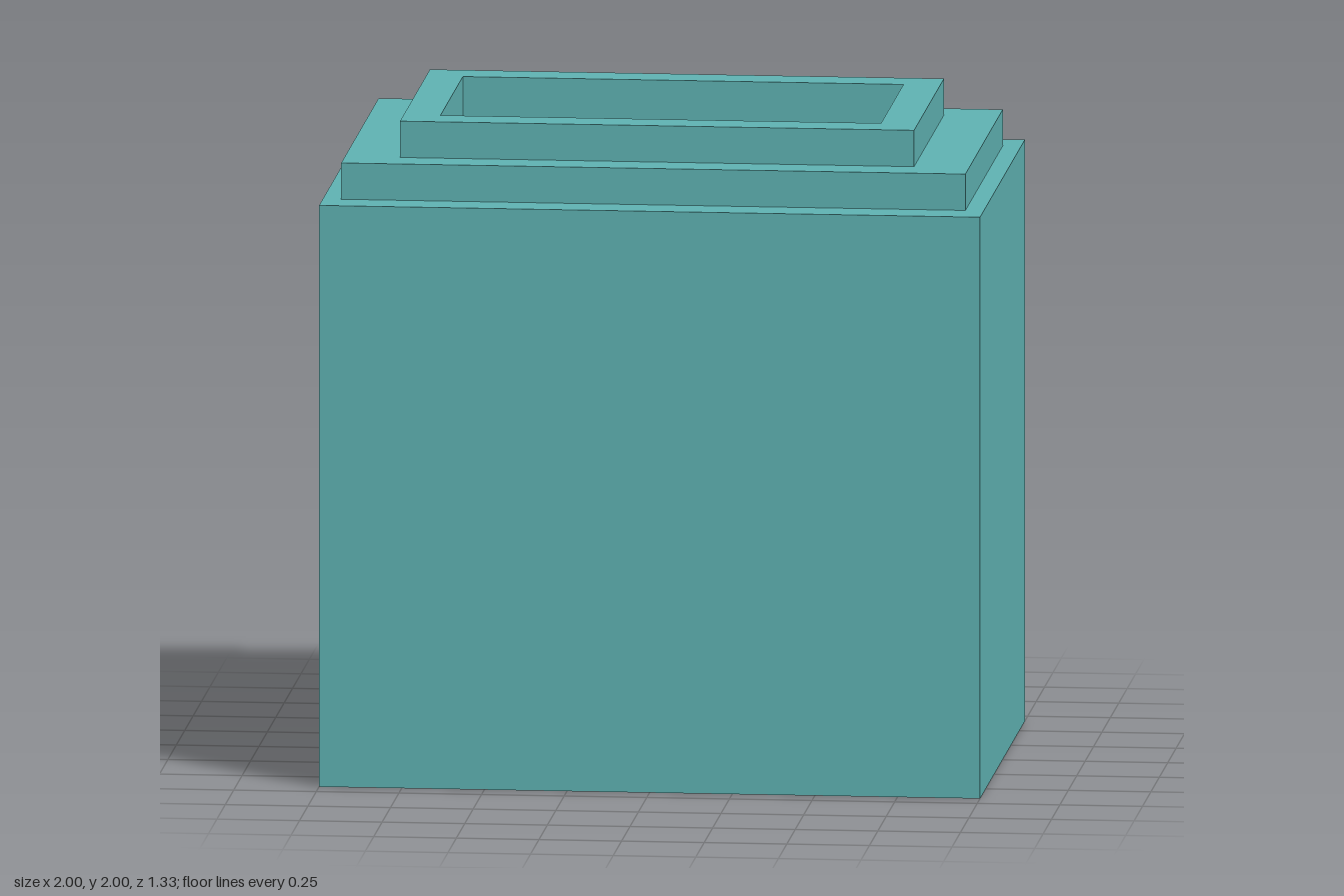
import * as THREE from 'three';

const U = 1 / 18; // one module: the wall thickness

// Sweeps a profile of [halfWidth, height, halfDepth] (in modules) around a rectangle.
// Profiles run up the outside and down the inside so faces point outward.
function rectangularSweep(profile) {
  const corners = [[1, 1], [1, -1], [-1, -1], [-1, 1]];
  const positions = [];
  for (let i = 0; i < profile.length - 1; i++) {
    for (let k = 0; k < 4; k++) {
      const point = ([w, y, d], [sx, sz]) => [sx * w * U, y * U, sz * d * U];
      const c0 = corners[k], c1 = corners[(k + 1) % 4];
      const a = point(profile[i], c0), b = point(profile[i], c1);
      const c = point(profile[i + 1], c1), d = point(profile[i + 1], c0);
      positions.push(...a, ...b, ...c, ...a, ...c, ...d);
    }
  }
  const geometry = new THREE.BufferGeometry();
  geometry.setAttribute('position', new THREE.Float32BufferAttribute(positions, 3));
  geometry.computeVertexNormals();
  return geometry;
}

export function createModel() {
  const group = new THREE.Group();
  const teal = new THREE.MeshStandardMaterial({ color: 0x5fb3b3 });
  teal.name = 'teal';

  const parts = {
    // inner cavity ceiling and walls, bottom edge, outer walls and shoulder
    bodyShell: [[12, 31, 6], [17, 31, 11], [17, 0, 11], [18, 0, 12], [18, 32, 12], [17, 32, 10]],
    // lower step on the shoulder
    lowerStep: [[17, 32, 10], [17, 34, 10], [14, 34, 8]],
    // upper rim and the walls of the opening
    openingRim: [[14, 34, 8], [14, 36, 8], [12, 36, 6], [12, 31, 6]],
  };
  for (const [name, profile] of Object.entries(parts)) {
    const mesh = new THREE.Mesh(rectangularSweep(profile), teal);
    mesh.name = name;
    group.add(mesh);
  }
  return group;
}
